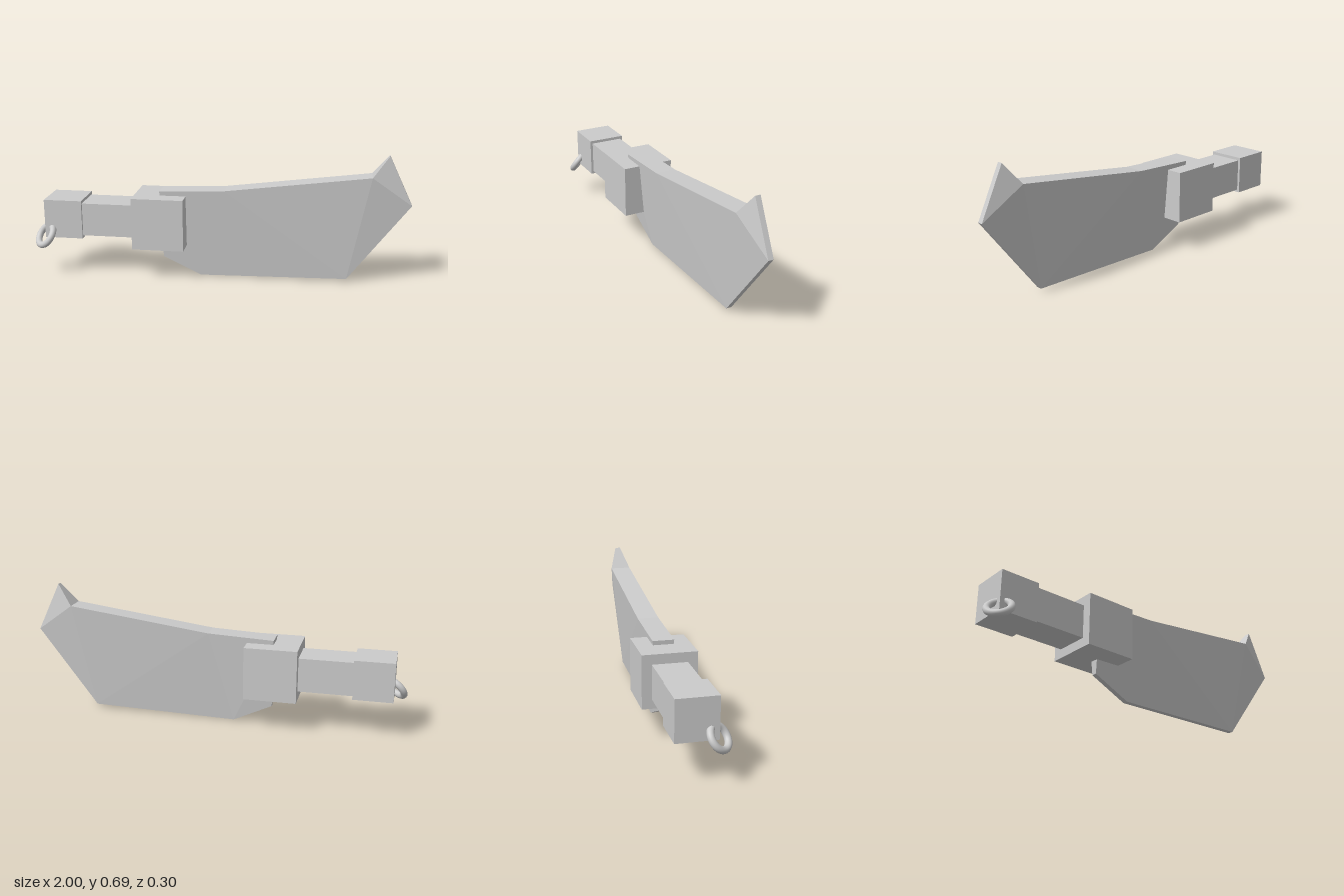
import * as THREE from 'three';

const MID = -0.0135; // z of the sword's centre plane
const flat = new THREE.MeshStandardMaterial({ color: 0xcccccc, flatShading: true });
const smooth = new THREE.MeshStandardMaterial({ color: 0xcccccc });

function addMesh(group, name, geometry, material = flat) {
  const mesh = new THREE.Mesh(geometry, material);
  mesh.name = name;
  group.add(mesh);
  return mesh;
}

// Square-section block between two x and two y values
function addBlock(group, name, x0, x1, y0, y1, depth) {
  addMesh(group, name, new THREE.BoxGeometry(x1 - x0, y1 - y0, depth))
    .position.set((x0 + x1) / 2, (y0 + y1) / 2, MID);
}

// Wedge blade lofted through four-cornered sections: spine point, edge point, spine half thickness
function bladeGeometry() {
  const edge = 0.014, spine = 0.055;
  const sections = [
    [-0.315, 0.475, -0.305, 0.1, spine],
    [0.03, 0.49, -0.1, 0.003, spine],
    [0.79, 0.588, 0.68, 0.02, spine],
    [0.873, 0.696, 0.997, 0.437, edge], // thin flared tip
  ].map(([tx, ty, bx, by, t]) => [
    [tx, ty, MID + t], [tx, ty, MID - t], [bx, by, MID - edge], [bx, by, MID + edge],
  ]);
  const pos = [];
  const tri = (...points) => points.forEach((p) => pos.push(...p));
  for (let i = 0; i < sections.length - 1; i++) {
    for (let j = 0; j < 4; j++) {
      const k = (j + 1) % 4;
      const a = sections[i][j], b = sections[i][k];
      const c = sections[i + 1][k], d = sections[i + 1][j];
      // Both cheeks fold from spine to edge
      if (j === 3) { tri(a, d, b); tri(b, d, c); }
      else { tri(a, d, c); tri(a, c, b); }
    }
  }
  // End caps
  const s = sections[0], e = sections[sections.length - 1];
  tri(s[0], s[1], s[2]); tri(s[0], s[2], s[3]);
  tri(e[0], e[2], e[1]); tri(e[0], e[3], e[2]);
  const geometry = new THREE.BufferGeometry();
  geometry.setAttribute('position', new THREE.Float32BufferAttribute(pos, 3));
  geometry.computeVertexNormals();
  return geometry;
}

export function createModel() {
  const model = new THREE.Group();
  model.name = 'sword';

  addMesh(model, 'blade', bladeGeometry());
  addBlock(model, 'guard', -0.45, -0.175, 0.175, 0.453, 0.279);
  addBlock(model, 'grip', -0.73, -0.45, 0.224, 0.402, 0.179);
  addBlock(model, 'pommel', -0.935, -0.73, 0.21, 0.418, 0.206);

  // Ring through the pommel's lower front corner
  const ring = addMesh(model, 'pommelRing', new THREE.TorusGeometry(0.058, 0.0175, 16, 48), smooth);
  ring.position.set(-0.935, 0.22, 0.087);
  ring.quaternion.setFromUnitVectors(
    new THREE.Vector3(0, 0, 1), new THREE.Vector3(-1, 1, 1).normalize());

  return model;
}
